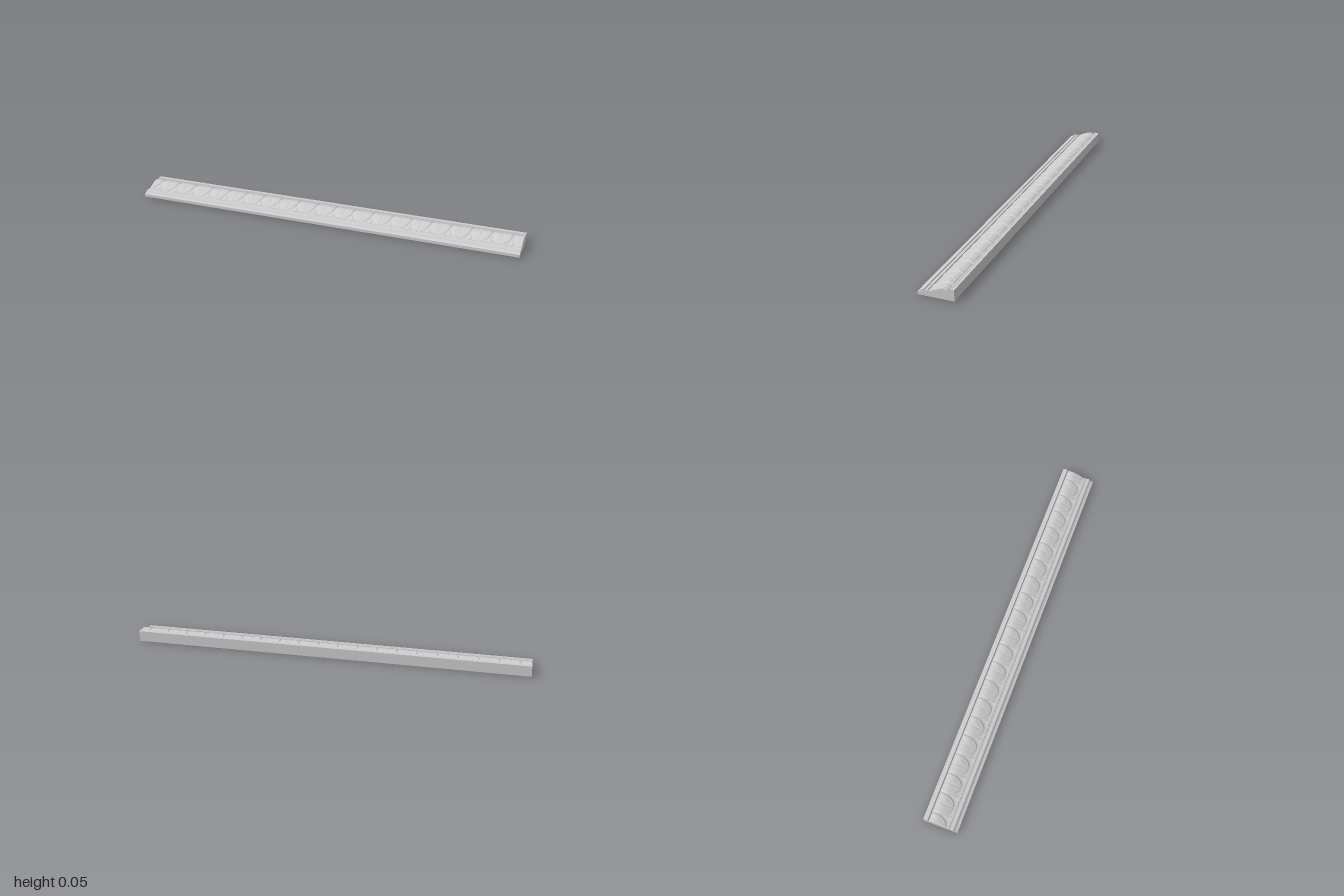
import * as THREE from 'three';

const LENGTH = 2, PITCH = 0.1;
const BAND_BACK = -0.06, BAND_FRONT = 0.034;
const mat = new THREE.MeshStandardMaterial({ color: 0xcccccc });

// Piecewise linear curve of [z, y] points, front to back
const crown = [[0.034, 0.031], [0.025, 0.033], [0.012, 0.039], [0, 0.044], [-0.014, 0.05],
  [-0.025, 0.0535], [-0.037, 0.0545], [-0.05, 0.051], [-0.06, 0.047]];
function crownHeight(z) {
  for (let i = 0; i < crown.length - 1; i++) {
    const [z0, y0] = crown[i], [z1, y1] = crown[i + 1];
    if (z >= z1) return y0 + (y1 - y0) * Math.min(1, Math.max(0, (z0 - z) / (z0 - z1)));
  }
  return crown[crown.length - 1][1];
}
const smooth = (a, b, v) => THREE.MathUtils.smoothstep(v, a, b);

// Solid moulding: stepped front, recessed bed for the carving, raised back fillet
function moulding() {
  const bed = crown.map(([z, y]) => [z, y - 0.007]);
  const profile = [[0.085, 0], [0.085, 0.014], [0.076, 0.017], [0.070, 0.021], [0.066, 0.027],
    [0.062, 0.0295], [0.056, 0.0295], [0.054, 0.025], [0.047, 0.026], [0.043, 0.029], [0.036, 0.031],
    ...bed, [-0.061, 0.046], [-0.063, 0.055], [-0.07, 0.055], [-0.072, 0.0535],
    [-0.085, 0.0535], [-0.085, 0]];
  const shape = new THREE.Shape(profile.map(([z, y]) => new THREE.Vector2(-z, y)));
  const geo = new THREE.ExtrudeGeometry(shape, { depth: LENGTH, bevelEnabled: false });
  geo.translate(0, 0, -LENGTH / 2).rotateY(Math.PI / 2);
  const mesh = new THREE.Mesh(geo, mat);
  mesh.name = 'moulding';
  return mesh;
}

// Depth of the carving below the crown at a point: broad leaves with small darts between
function carveDepth(x, z) {
  const t = (z - BAND_BACK) / (BAND_FRONT - BAND_BACK);
  const u = Math.abs(x / PITCH - Math.round(x / PITCH));
  const halfWidth = 0.48 * Math.sqrt(Math.max(0, 1 - Math.pow(t / 0.93, 3)));
  const leaf = smooth(-0.01, 0.07, halfWidth - u);
  const vein = 0.0015 * (1 - smooth(0.01, 0.05, u)) * smooth(0.1, 0.3, t);
  const ribs = 0.0007 * (0.5 + 0.5 * Math.cos((u * 3 + t * 2) * Math.PI * 2));
  const dart = smooth(0.0, 0.06, (t - 0.62) * 0.35 - (0.5 - u)) * 0.6;
  return 0.0045 * (1 - Math.max(leaf, dart)) + leaf * (vein + ribs);
}

// Carved leaf band as a relief surface whose rim drops into the bed
function leafBand() {
  const width = BAND_FRONT - BAND_BACK;
  const geo = new THREE.PlaneGeometry(LENGTH, width, 800, 28);
  geo.rotateX(-Math.PI / 2).translate(0, 0, (BAND_FRONT + BAND_BACK) / 2);
  const p = geo.attributes.position;
  for (let i = 0; i < p.count; i++) {
    const x = p.getX(i), z = p.getZ(i);
    const rim = Math.abs(x) > LENGTH / 2 - 1e-4 || z < BAND_BACK + 1e-4;
    p.setY(i, crownHeight(z) - (rim ? 0.007 : carveDepth(x, z)));
    // End columns sit almost under their neighbours, closing the ends
    if (Math.abs(Math.abs(x) - (LENGTH / 2 - LENGTH / 800)) < 1e-4) p.setX(i, Math.sign(x) * (LENGTH / 2 - 0.0002));
  }
  geo.computeVertexNormals();
  const mesh = new THREE.Mesh(geo, mat);
  mesh.name = 'leafBand';
  return mesh;
}

// Row of small beads along the front of the leaves
function beadRow() {
  const row = new THREE.Group();
  row.name = 'beadRow';
  const geo = new THREE.SphereGeometry(1, 10, 6);
  geo.scale(0.009, 0.0035, 0.0035);
  for (let i = 0; i < 100; i++) {
    const bead = new THREE.Mesh(geo, mat);
    bead.name = 'bead';
    bead.position.set(-0.99 + i * 0.02, 0.0295, 0.038);
    row.add(bead);
  }
  return row;
}

export function createModel() {
  const model = new THREE.Group();
  model.name = 'carvedMoulding';
  model.add(moulding(), leafBand(), beadRow());
  return model;
}
